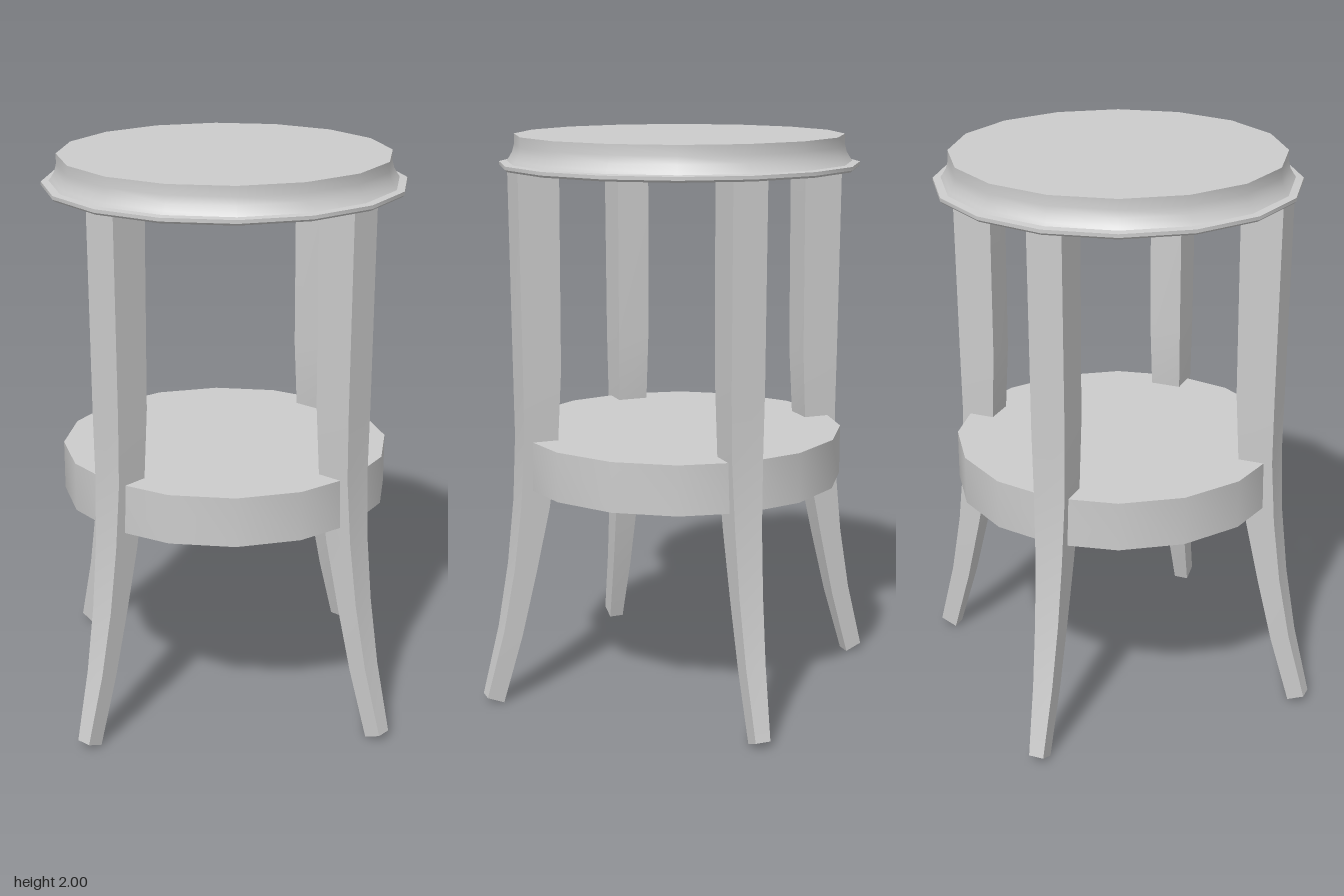
import * as THREE from 'three';
import { toCreasedNormals } from 'three/addons/utils/BufferGeometryUtils.js';

const material = new THREE.MeshStandardMaterial({ color: 0xcccccc });

// Turned 16-sided part from a [radius, y] profile running bottom to top
function turned(name, profile) {
  const points = profile.map(([r, y]) => new THREE.Vector2(r, y));
  const geometry = toCreasedNormals(new THREE.LatheGeometry(points, 16), 0.5);
  const mesh = new THREE.Mesh(geometry, material);
  mesh.name = name;
  return mesh;
}

// Sabre leg sections: [outer radius, outer y, inner radius, inner y, half width]
const LEG = [
  [0.748, 0.025, 0.688, 0.0, 0.027],
  [0.684, 0.27, 0.617, 0.245, 0.036],
  [0.642, 0.5, 0.563, 0.475, 0.043],
  [0.615, 0.73, 0.512, 0.71, 0.049],
  [0.602, 0.96, 0.479, 0.95, 0.056],
  [0.603, 1.2, 0.466, 1.2, 0.06],
  [0.608, 1.89, 0.462, 1.89, 0.061],
];

// Box rows are moved onto the leg sections
function legGeometry() {
  const rows = LEG.length - 1;
  const geometry = new THREE.BoxGeometry(1, 1, 1, 1, rows, 1);
  const p = geometry.attributes.position;
  for (let i = 0; i < p.count; i++) {
    const [ro, yo, ri, yi, half] = LEG[Math.round((p.getY(i) + 0.5) * rows)];
    const outer = p.getZ(i) > 0;
    p.setXYZ(i, Math.sign(p.getX(i)) * half, outer ? yo : yi, outer ? ro : ri);
  }
  geometry.computeVertexNormals();
  return geometry;
}

export function createModel() {
  const table = new THREE.Group();
  table.name = 'roundSideTable';

  // Top with a thin lip and a cove moulding
  table.add(turned('tableTop', [
    [0, 1.885], [0.625, 1.885], [0.632, 1.892], [0.632, 1.904], [0.605, 1.907],
    [0.597, 1.918], [0.585, 1.938], [0.578, 1.965], [0.578, 2], [0, 2],
  ]));

  // Lower shelf
  table.add(turned('shelf', [[0, 0.78], [0.582, 0.78], [0.582, 0.955], [0, 0.955]]));

  // Four legs, one on each axis
  const geometry = legGeometry();
  ['frontLeg', 'leftLeg', 'backLeg', 'rightLeg'].forEach((name, i) => {
    const leg = new THREE.Mesh(geometry, material);
    leg.name = name;
    leg.rotation.y = i * Math.PI / 2;
    table.add(leg);
  });
  return table;
}
